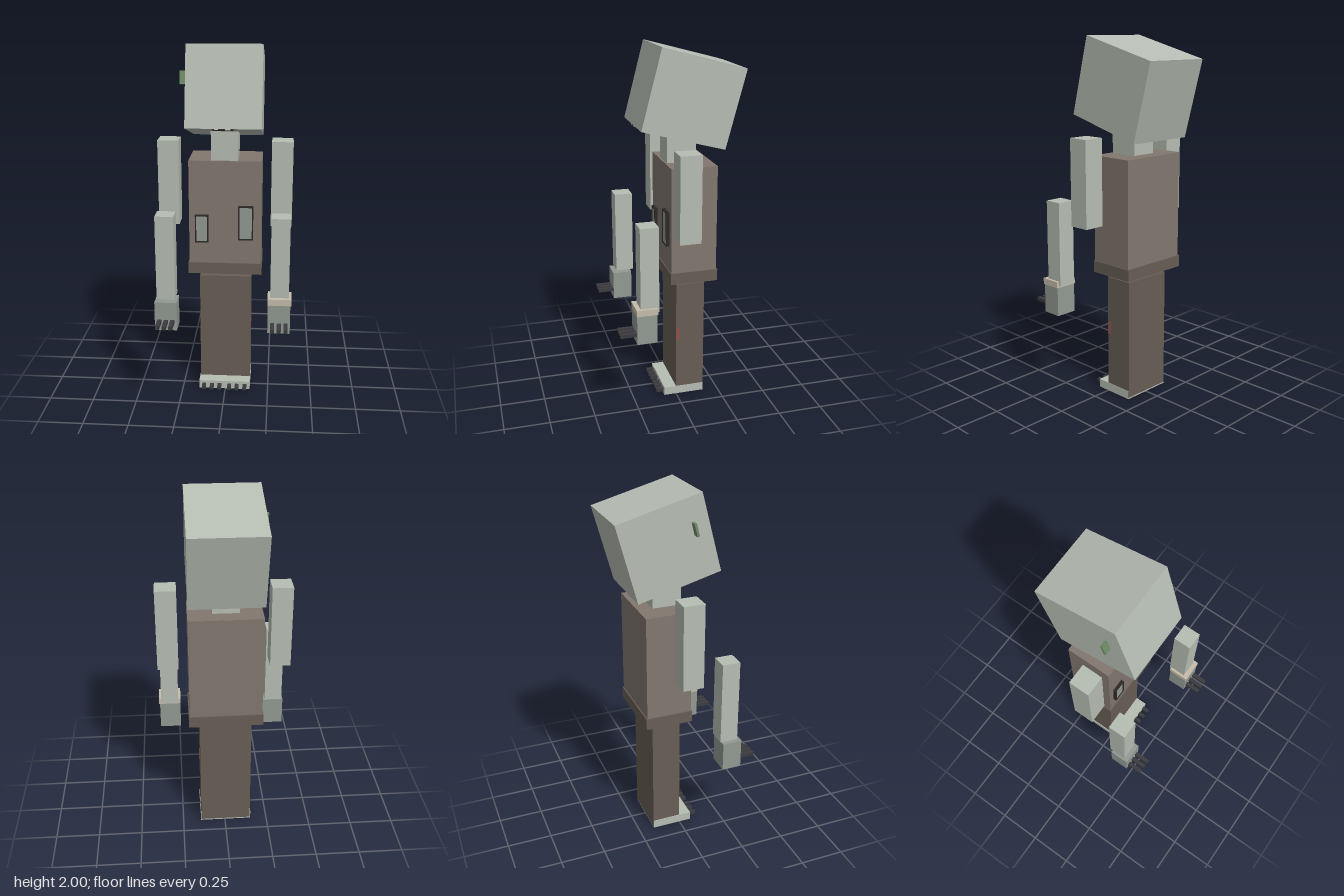
import * as THREE from 'three';

const material = (color) => new THREE.MeshStandardMaterial({ color, flatShading: true });
const skin = material(0xb6bdb3);
const handGrey = material(0x929a93);
const nail = material(0x3c3c40);
const shirt = material(0x82776f);
const trousers = material(0x685e55);
const cuffTan = material(0xc6bcaa);
const dark = material(0x2c2826);
const green = material(0x6f8a66);
const red = material(0x94504a);

export function createModel() {
  const model = new THREE.Group();
  model.name = 'figure';

  // Box from its lower and upper limits on each axis
  const box = (name, mat, [x0, x1], [y0, y1], [z0, z1], parent = model) => {
    const mesh = new THREE.Mesh(new THREE.BoxGeometry(x1 - x0, y1 - y0, z1 - z0), mat);
    mesh.position.set((x0 + x1) / 2, (y0 + y1) / 2, (z0 + z1) / 2);
    mesh.name = name;
    parent.add(mesh);
    return mesh;
  };

  // Head, tipped back, with a side bolt and a mouth under the chin
  const head = new THREE.Group();
  head.name = 'head';
  head.position.set(-0.002, 1.729, -0.079);
  head.rotation.x = -0.26;
  model.add(head);
  box('skull', skin, [-0.2, 0.2], [-0.217, 0.217], [-0.235, 0.235], head);
  box('bolt', green, [-0.238, -0.19], [0.02, 0.09], [0.142, 0.155], head);
  box('mouth', dark, [-0.056, 0.053], [-0.224, -0.21], [0.186, 0.23], head);
  for (const [x0, x1] of [[-0.045, -0.026], [0.01, 0.04]]) {
    box('tooth', cuffTan, [x0, x1], [-0.223, -0.212], [0.2, 0.232], head);
  }

  // Neck, torso and belt
  box('neck', skin, [-0.08, 0.068], [1.36, 1.56], [-0.13, 0.033]);
  box('torso', shirt, [-0.203, 0.198], [0.73, 1.373], [-0.211, 0.044]);
  box('belt', trousers, [-0.209, 0.203], [0.72, 0.785], [-0.218, 0.049]);

  // Framed pockets on the chest
  const pocket = (x0, x1, y0, y1) => {
    const rim = 0.007;
    box('pocketPanel', handGrey, [x0 + rim, x1 - rim], [y0 + rim, y1 - rim], [0.04, 0.058]);
    const z = [0.04, 0.062];
    box('pocketFrame', dark, [x0, x0 + rim], [y0, y1], z);
    box('pocketFrame', dark, [x1 - rim, x1], [y0, y1], z);
    box('pocketFrame', dark, [x0 + rim, x1 - rim], [y0, y0 + rim], z);
    box('pocketFrame', dark, [x0 + rim, x1 - rim], [y1 - rim, y1], z);
  };
  pocket(-0.169, -0.095, 0.91, 1.068);
  pocket(0.071, 0.154, 0.928, 1.122);

  // Arms: separate upper arm, forearm and hand with three fingers
  const arm = (name, upperX, foreX, handX, fingers) => {
    const group = new THREE.Group();
    group.name = name;
    model.add(group);
    box('upperArm', skin, upperX, [1.01, 1.482], [-0.072, 0.045], group);
    box('forearm', skin, foreX, [0.645, 1.117], [0.155, 0.256], group);
    box('hand', handGrey, handX, [0.47, 0.633], [0.169, 0.278], group);
    for (const x of fingers) {
      box('finger', nail, [x - 0.011, x + 0.011], [0.511, 0.531], [0.27, 0.366], group);
    }
    return group;
  };
  arm('rightArm', [-0.37, -0.256], [-0.363, -0.262], [-0.373, -0.251], [-0.348, -0.312, -0.276]);
  const leftArm = arm('leftArm', [0.25, 0.366], [0.257, 0.358], [0.245, 0.367], [0.271, 0.307, 0.343]);
  box('cuff', cuffTan, [0.243, 0.373], [0.635, 0.67], [0.165, 0.281], leftArm);

  // Legs as one block, with a small stain on the left edge
  box('legs', trousers, [-0.15, 0.142], [0.008, 0.688], [-0.163, 0]);
  box('stain', red, [0.136, 0.145], [0.352, 0.42], [-0.018, -0.001]);

  // Foot slab and toes
  box('foot', skin, [-0.154, 0.144], [0, 0.048], [-0.162, 0.07]);
  for (const x of [-0.124, -0.078, -0.034, 0.024, 0.068, 0.114]) {
    box('toe', nail, [x - 0.011, x + 0.011], [0.013, 0.033], [0.06, 0.112]);
  }

  return model;
}
